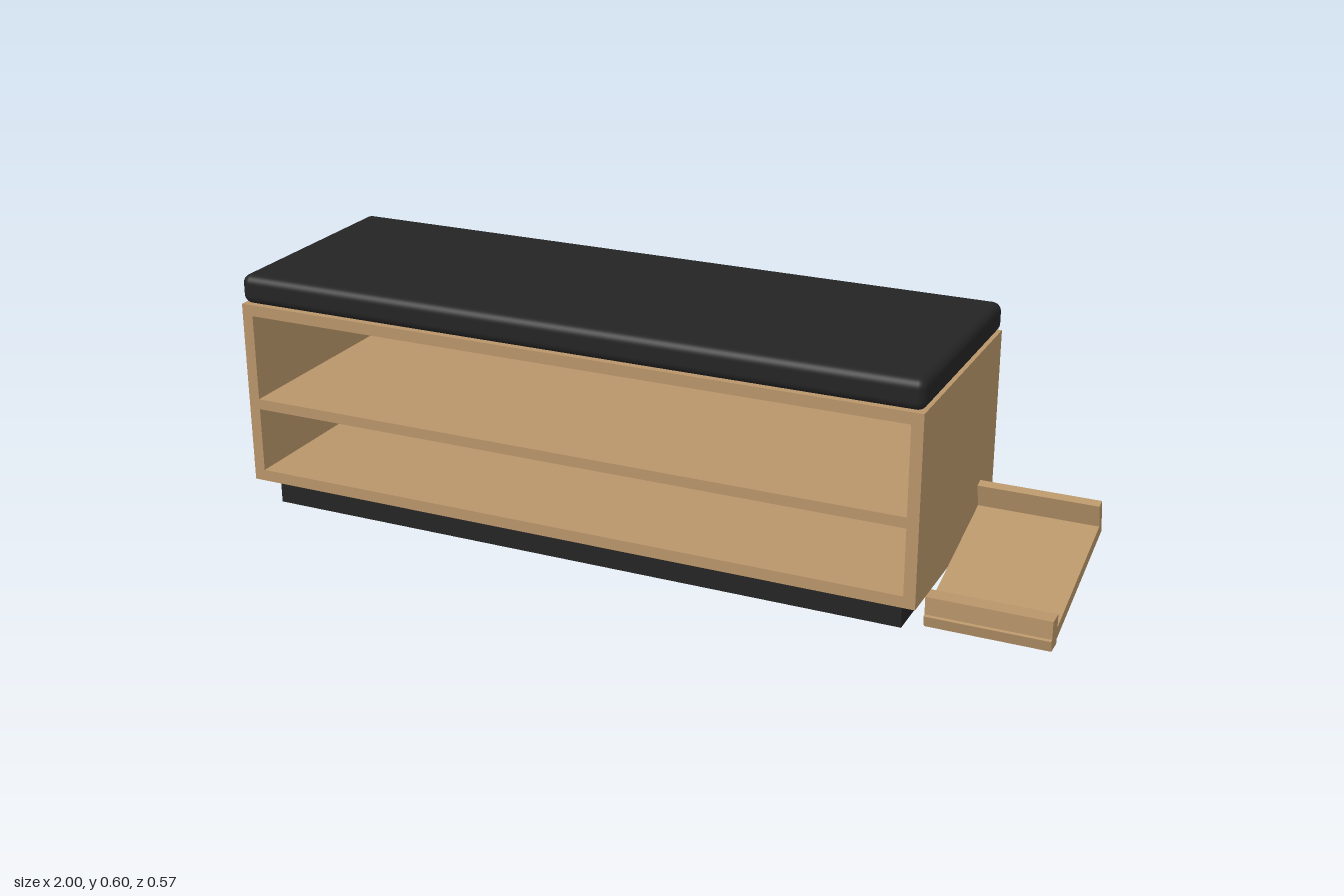
import * as THREE from 'three';
import { RoundedBoxGeometry } from 'three/addons/geometries/RoundedBoxGeometry.js';

export function createModel() {
  const model = new THREE.Group();
  model.name = 'storageBench';

  const wood = new THREE.MeshStandardMaterial({ color: 0xb8956a });
  wood.name = 'oak';
  const black = new THREE.MeshStandardMaterial({ color: 0x242424 });
  black.name = 'black';

  const add = (name, geometry, material, parent = model) => {
    const mesh = new THREE.Mesh(geometry, material);
    mesh.name = name;
    parent.add(mesh);
    return mesh;
  };
  // box given by its lower and upper limits on each axis
  const box = (name, [x0, x1], [y0, y1], [z0, z1], material, parent) => {
    const mesh = add(name, new THREE.BoxGeometry(x1 - x0, y1 - y0, z1 - z0), material, parent);
    mesh.position.set((x0 + x1) / 2, (y0 + y1) / 2, (z0 + z1) / 2);
    return mesh;
  };

  const L = -1, R = 0.713, B = 0.072, T = 0.53, D = 0.287, t = 0.028;

  // open-fronted cabinet with one shelf
  const cabinet = new THREE.Group();
  cabinet.name = 'cabinet';
  model.add(cabinet);
  box('rightPanel', [L, L + t], [B, T], [-D, D], wood, cabinet);
  box('leftPanel', [R - t, R], [B, T], [-D, D], wood, cabinet);
  box('bottomPanel', [L + t, R - t], [B, B + t], [-D, D], wood, cabinet);
  box('topPanel', [L + t, R - t], [T - t, T], [-D, D], wood, cabinet);
  box('backPanel', [L + t, R - t], [B + t, T - t], [-D, -D + t], wood, cabinet);
  box('shelf', [L + t, R - t], [0.262, 0.288], [-D + t, D], wood, cabinet);

  // recessed base
  box('plinth', [L + 0.043, R - 0.043], [0, B], [-0.244, 0.244], black);

  // seat pad with rounded edges
  const cushion = add('cushion', new RoundedBoxGeometry(R - L, 0.072, 2 * D, 5, 0.022), black);
  cushion.position.set((L + R) / 2, 0.566, 0);

  // sloping side tray: profile in (z, y), swept along x
  const tray = new THREE.Group();
  tray.name = 'sideTray';
  model.add(tray);
  const profile = [
    [0.215, 0], [0.222, 0.027], [-0.172, 0.133], [-0.157, 0.189],
    [-0.178, 0.195], [-0.2, 0.111],
  ];
  // shape x is -z so that a quarter turn lines the sweep up with +x
  const shape = new THREE.Shape(profile.map(([z, y]) => new THREE.Vector2(-z, y)));
  const board = new THREE.ExtrudeGeometry(shape, { depth: 1 - R, bevelEnabled: false });
  board.rotateY(Math.PI / 2);
  board.translate(R, 0, 0);
  add('trayBoard', board, wood, tray);
  box('trayFrontRail', [R, 1], [0, 0.072], [0.174, 0.215], wood, tray);

  return model;
}
